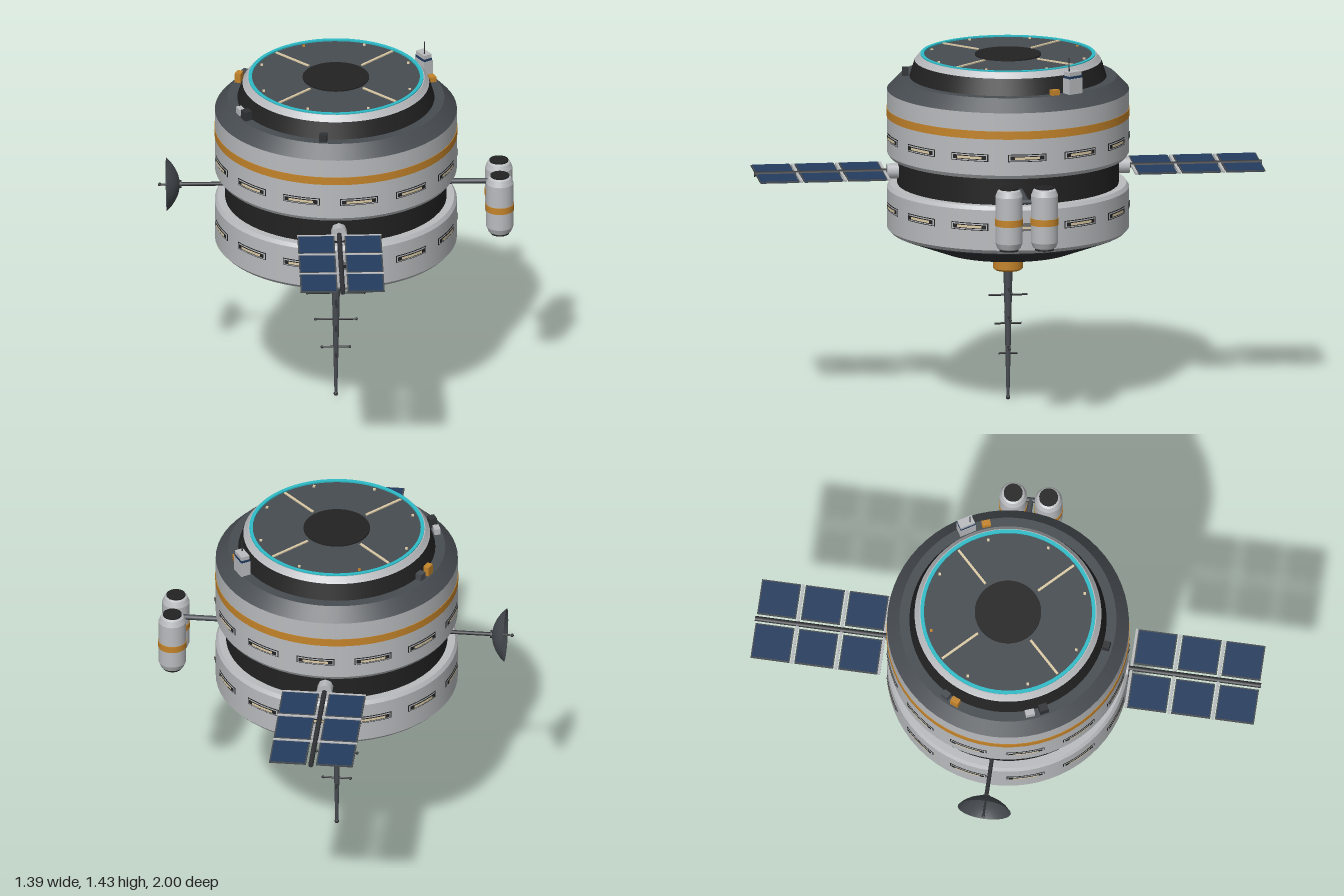
import * as THREE from 'three';
import { mergeGeometries } from 'three/addons/utils/BufferGeometryUtils.js';

const mat = (name, color, side = THREE.FrontSide) => {
  const m = new THREE.MeshStandardMaterial({ color, side });
  m.name = name;
  return m;
};

export function createModel() {
  const root = new THREE.Group();
  root.name = 'spaceStation';
  const hull = mat('hullGrey', 0xb9bbbe);
  const black = mat('nearBlack', 0x222222);
  const charcoal = mat('charcoal', 0x303235);
  const slate = mat('slateGrey', 0x474c51);
  const dishGrey = mat('dishSlate', 0x43484d, THREE.DoubleSide);
  const orange = mat('orange', 0xc4842a);
  const navy = mat('solarNavy', 0x233c5f);
  const cyan = mat('cyanGlow', 0x2cbcc8);
  const tan = mat('warmLight', 0xdccbA6);

  const add = (name, geo, m, x = 0, y = 0, z = 0, parent = root) => {
    const mesh = new THREE.Mesh(geo, m);
    mesh.name = name;
    mesh.position.set(x, y, z);
    parent.add(mesh);
    return mesh;
  };
  // Turned shell with hard edges between profile segments (bottom to top)
  const turned = (pts, seg = 64) => mergeGeometries(pts.slice(1).map((p, i) =>
    new THREE.LatheGeometry([new THREE.Vector2(...pts[i]), new THREE.Vector2(...p)], seg)));
  const shell = (name, m, pts) => add(name, turned(pts), m);
  const box = (w, h, d) => new THREE.BoxGeometry(w, h, d);
  const cyl = (rt, rb, h, s = 16) => new THREE.CylinderGeometry(rt, rb, h, s);
  const cylX = (r, h, s = 10) => cyl(r, r, h, s).rotateZ(Math.PI / 2);
  const cylZ = (r, h, s = 10) => cyl(r, r, h, s).rotateX(Math.PI / 2);

  // Main body, bottom to top
  shell('bottomPlate', black, [[0, 0.605], [0.265, 0.605]]);
  shell('bottomCone', charcoal, [[0.265, 0.605], [0.45, 0.675]]);
  shell('lowerRim', slate, [[0.45, 0.675], [0.46, 0.68]]);
  shell('lowerHull', hull, [[0.46, 0.68], [0.474, 0.695], [0.474, 0.855], [0.464, 0.87], [0.43, 0.87]]);
  shell('waist', black, [[0.434, 0.865], [0.434, 0.985]]);
  shell('upperHull', hull, [[0.43, 0.98], [0.464, 0.98], [0.474, 0.995], [0.474, 1.245]]);
  shell('shoulder', slate, [[0.474, 1.245], [0.425, 1.295], [0.37, 1.295]]);
  shell('neck', black, [[0.386, 1.295], [0.366, 1.36]]);
  shell('deckRim', hull, [[0.366, 1.358], [0.36, 1.365], [0.347, 1.382], [0.34, 1.382]]);
  shell('deck', slate, [[0.345, 1.38], [0, 1.38]]);
  shell('deckGlowRing', cyan, [[0.343, 1.38], [0.343, 1.386], [0.329, 1.386], [0.329, 1.38]]);
  shell('dockingHatch', black, [[0.13, 1.38], [0.13, 1.385], [0, 1.385]]);
  shell('orangeStripe', orange, [[0.474, 1.14], [0.476, 1.14], [0.476, 1.172], [0.474, 1.172]]);

  // Deck markings and lamps
  for (let i = 0; i < 4; i++) {
    const a = Math.PI / 4 + i * Math.PI / 2;
    add('deckLine', box(0.175, 0.006, 0.009), tan, Math.cos(a) * 0.235, 1.382, Math.sin(a) * 0.235).rotation.y = -a;
  }
  for (let i = 0; i < 8; i++) {
    const a = Math.PI / 8 + i * Math.PI / 4;
    add('deckLamp', box(0.01, 0.007, 0.01), i === 5 ? orange : tan, Math.cos(a) * 0.31, 1.382, Math.sin(a) * 0.31);
  }

  // Window bands: curved frame, dark recess and lit strip
  const patch = (r, h, deg, c) => new THREE.CylinderGeometry(r, r, h, 6, 1, true,
    THREE.MathUtils.degToRad(c - deg / 2), THREE.MathUtils.degToRad(deg));
  for (const y of [0.788, 1.065]) {
    for (let i = 0; i < 13; i++) {
      const c = 9.5 + i * 360 / 13;
      add('windowFrame', patch(0.4755, 0.03, 18.4, c), black, 0, y);
      add('windowTrim', patch(0.477, 0.024, 17.4, c), hull, 0, y);
      add('windowRecess', patch(0.4785, 0.016, 16.2, c), black, 0, y);
      add('windowLight', patch(0.48, 0.01, 12, c), tan, 0, y);
    }
  }

  // Solar wings, front and back
  for (const s of [1, -1]) {
    const wing = new THREE.Group();
    wing.name = 'solarWing';
    wing.position.y = 0.925;
    if (s < 0) wing.rotation.y = Math.PI;
    root.add(wing);
    add('wingHub', cylZ(0.031, 0.055, 8), hull, 0, 0, 0.45, wing);
    add('wingSpar', cylZ(0.01, 0.55), charcoal, 0, 0, 0.725, wing);
    for (const z of [0.488, 0.658, 0.832]) add('wingCrossbar', box(0.33, 0.008, 0.01), hull, 0, 0, z, wing);
    for (const z of [0.571, 0.745, 0.918]) {
      for (const x of [-0.092, 0.092]) {
        add('cellFrame', box(0.145, 0.006, 0.154), slate, x, 0, z, wing);
        add('solarCell', box(0.134, 0.01, 0.145), navy, x, 0, z, wing);
      }
    }
  }

  // Dish on the right-hand side, opening outwards
  const dishPts = [[0.015, 0], [0.04, 0.006], [0.065, 0.018], [0.088, 0.034], [0.105, 0.052]];
  const dish = new THREE.LatheGeometry(dishPts.map(p => new THREE.Vector2(...p)), 32);
  add('dish', dish.rotateZ(Math.PI / 2), dishGrey, -0.612, 0.925);
  add('dishBoom', cylX(0.008, 0.2), charcoal, -0.52, 0.925);
  add('dishHub', cylX(0.016, 0.014), charcoal, -0.612, 0.925);
  add('dishFeed', cylX(0.004, 0.08), charcoal, -0.65, 0.925);
  add('dishFeedTip', new THREE.SphereGeometry(0.007, 8, 6), charcoal, -0.69, 0.925);

  // Pair of tanks on a boom
  add('tankBoom', cylX(0.011, 0.22), slate, 0.535, 0.925);
  add('tankCrossbar', cylZ(0.01, 0.1), slate, 0.64, 0.925);
  const tankPts = [[0, 0.735], [0.033, 0.735], [0.045, 0.743], [0.054, 0.765], [0.054, 0.95],
    [0.045, 0.972], [0.033, 0.98], [0, 0.98]];
  for (const z of [-0.07, 0.07]) {
    add('tank', turned(tankPts, 24), hull, 0.64, 0, z);
    add('tankBand', cyl(0.056, 0.056, 0.027, 24), orange, 0.64, 0.848, z);
    for (const y of [0.735, 0.98]) add('tankCap', cyl(0.037, 0.037, 0.006, 20), black, 0.64, y, z);
  }

  // Antenna mast below, with paired crossbars
  add('mastSocket', cyl(0.021, 0.021, 0.06), slate, 0, 0.58);
  add('mastCollar', turned([[0, 0.52], [0.05, 0.52], [0.06, 0.528], [0.06, 0.564], [0.05, 0.572], [0, 0.572]], 24), orange);
  add('mast', cyl(0.018, 0.006, 0.52, 10), slate, 0, 0.268);
  add('mastTip', new THREE.SphereGeometry(0.009, 10, 8), charcoal, 0, 0.009);
  for (const [y, lx, lz] of [[0.446, 0.112, 0.077], [0.332, 0.08, 0.053], [0.212, 0.054, 0.037]]) {
    add('mastBarAcross', cylX(0.004, lx * 2, 8), charcoal, 0, y);
    add('mastBarDeep', cylZ(0.004, lz * 2, 8), charcoal, 0, y - 0.027);
    for (const s of [-1, 1]) add('mastBarTip', new THREE.SphereGeometry(0.006, 8, 6), charcoal, s * lx, y);
  }

  // Equipment around the shoulder, each turned to face outwards
  const gear = (name, m, x, z, w, h, d) => {
    add(name, box(w, h, d), m, x, 1.294 + h / 2, z).rotation.y = Math.atan2(x, z);
  };
  gear('sensorBox', hull, 0.35, -0.215, 0.06, 0.088, 0.035);
  gear('sensorBand', navy, 0.35, -0.215, 0.063, 0.072, 0.038);
  gear('sensorBase', hull, 0.35, -0.215, 0.066, 0.062, 0.041);
  add('sensorWhip', cyl(0.002, 0.003, 0.06, 6), charcoal, 0.352, 1.405, -0.2);
  gear('orangeBox', orange, 0.38, -0.14, 0.034, 0.022, 0.024);
  gear('orangeBox', orange, -0.375, -0.155, 0.034, 0.04, 0.024);
  gear('ventBox', slate, -0.35, -0.195, 0.03, 0.03, 0.026);
  gear('lightBox', hull, -0.378, 0.14, 0.036, 0.026, 0.024);
  gear('cameraBox', charcoal, -0.355, 0.19, 0.034, 0.038, 0.03);
  gear('cameraBox', charcoal, -0.06, 0.398, 0.03, 0.032, 0.026);
  return root;
}
